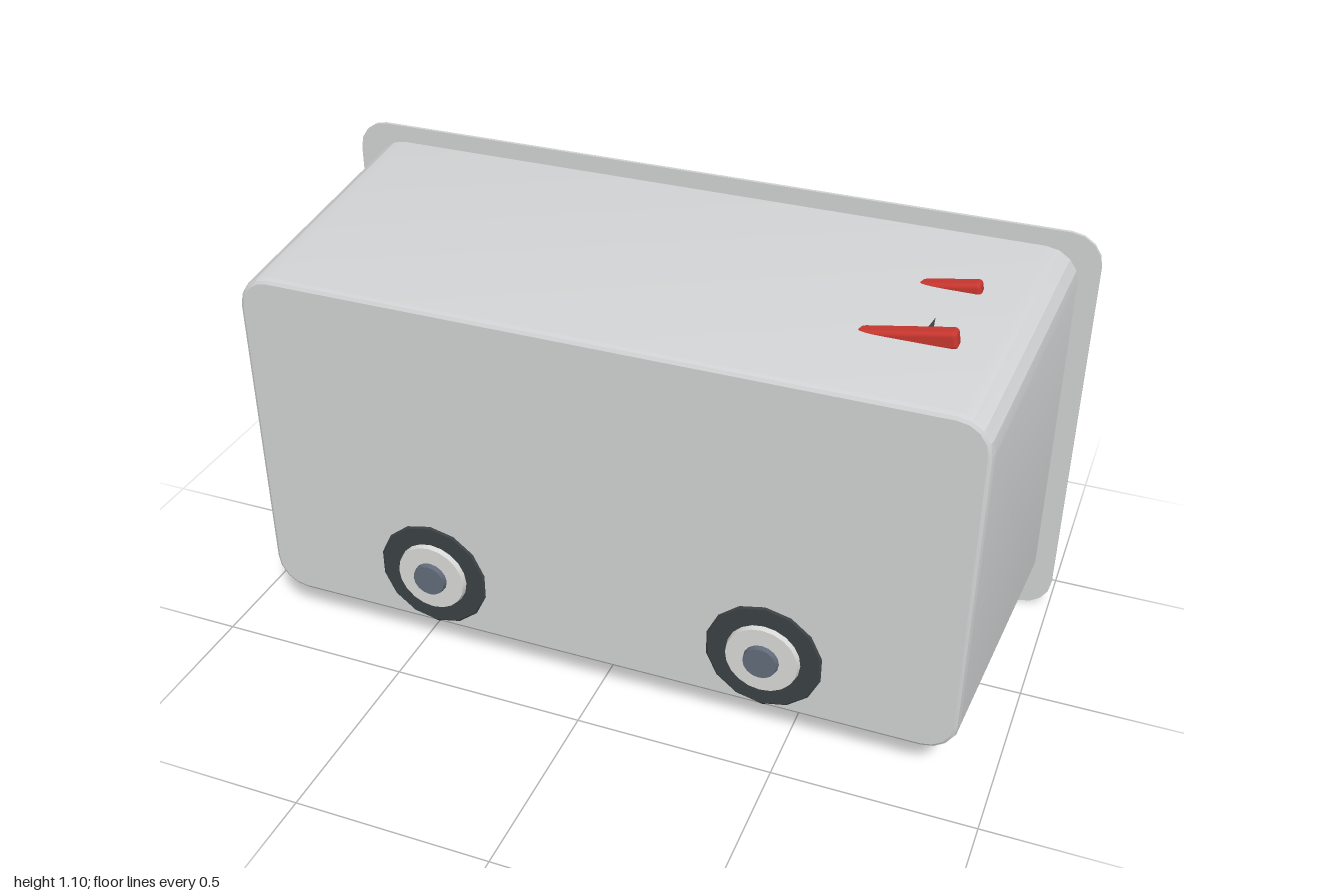
import * as THREE from 'three';
import { toCreasedNormals } from 'three/addons/utils/BufferGeometryUtils.js';
import { RoundedBoxGeometry } from 'three/addons/geometries/RoundedBoxGeometry.js';

const mat = (name, color, side = THREE.FrontSide) => {
  const m = new THREE.MeshStandardMaterial({ color, side });
  m.name = name;
  return m;
};

// Rounded rectangle, counter-clockwise
function roundedPoints(halfW, y0, y1, r, n = 4) {
  const pts = [];
  [[1, 1], [-1, 1], [-1, -1], [1, -1]].forEach(([sx, sy], q) => {
    const cx = sx * (halfW - r), cy = sy > 0 ? y1 - r : y0 + r;
    for (let i = 0; i <= n; i++) {
      const a = (q + i / n) * Math.PI / 2;
      pts.push(new THREE.Vector2(cx + r * Math.cos(a), cy + r * Math.sin(a)));
    }
  });
  return pts;
}

// Skin joining rounded-rectangle rings [halfW, y0, y1, r, z]
function loftRings(rings) {
  const pos = [], idx = [];
  const loops = rings.map(([w, a, b, r]) => roundedPoints(w, a, b, r));
  const n = loops[0].length;
  loops.forEach((l, k) => l.forEach(p => pos.push(p.x, p.y, rings[k][4])));
  for (let k = 0; k < rings.length - 1; k++) {
    for (let i = 0; i < n; i++) {
      const j = (i + 1) % n, a = k * n, b = a + n;
      idx.push(a + i, a + j, b + j, a + i, b + j, b + i);
    }
  }
  const g = new THREE.BufferGeometry();
  g.setAttribute('position', new THREE.Float32BufferAttribute(pos, 3));
  g.setIndex(idx);
  return toCreasedNormals(g, 0.3);
}

export function createModel() {
  const model = new THREE.Group();
  model.name = 'boxedTruck';
  const shellMat = mat('shell grey', 0xd0d1d2, THREE.DoubleSide);
  const white = mat('body white', 0xd9d9d7);
  const red = mat('red', 0xc8372f);
  const dark = mat('dark grey', 0x3b4144);
  const steel = mat('hub steel', 0x626b7a);

  const add = (name, geo, m, x = 0, y = 0, z = 0, parent = model) => {
    const mesh = new THREE.Mesh(geo, m);
    mesh.name = name;
    mesh.position.set(x, y, z);
    parent.add(mesh);
    return mesh;
  };
  // Box given by its limits
  const box = (name, m, x0, x1, y0, y1, z0, z1, round = 0) => {
    const s = [x1 - x0, y1 - y0, z1 - z0];
    const g = round ? new RoundedBoxGeometry(...s, 2, round) : new THREE.BoxGeometry(...s);
    return add(name, g, m, (x0 + x1) / 2, (y0 + y1) / 2, (z0 + z1) / 2);
  };

  // Tapered shell, open at the back
  add('shellWalls', loftRings([
    [0.95, 0.053, 1.055, 0.085, -0.38],
    [0.912, 0.094, 1.011, 0.085, 0.37],
    [0.908, 0.098, 1.007, 0.081, 0.381],
    [0.9, 0.106, 0.999, 0.073, 0.386],
  ]), shellMat);
  add('shellFront', new THREE.ShapeGeometry(
    new THREE.Shape(roundedPoints(0.9, 0.106, 0.999, 0.073))), shellMat, 0, 0, 0.386);
  const rim = new THREE.Shape(roundedPoints(1, 0, 1.1, 0.08));
  rim.holes.push(new THREE.Path(roundedPoints(0.95, 0.053, 1.055, 0.085)));
  add('shellRim', new THREE.ExtrudeGeometry(rim, { depth: 0.009, bevelEnabled: false }),
    shellMat, 0, 0, -0.386);

  // Lower body with chamfered front corners
  const plan = new THREE.Shape([[0.62, -0.28], [0.62, 0.28], [-0.58, 0.28], [-0.68, 0.22],
    [-0.68, -0.22], [-0.58, -0.28]].map(p => new THREE.Vector2(...p)).reverse());
  const hull = new THREE.ExtrudeGeometry(plan, { depth: 0.27, bevelEnabled: false });
  hull.rotateX(-Math.PI / 2);
  add('lowerBody', hull, white, 0, 0.22, 0);
  box('chassis', dark, -0.6, 0.6, 0.18, 0.22, -0.18, 0.18);

  // Cab narrowing towards the roof
  const cab = new THREE.BoxGeometry(0.52, 0.2, 0.52);
  const p = cab.attributes.position;
  for (let i = 0; i < p.count; i++) {
    if (p.getY(i) < 0) continue;
    p.setX(i, p.getX(i) > 0 ? 0.2 : -0.235);
    p.setZ(i, p.getZ(i) * 0.83);
  }
  cab.computeVertexNormals();
  add('cab', cab, white, -0.34, 0.6, 0);
  box('cabTrim', red, -0.625, -0.59, 0.485, 0.505, -0.25, 0.25);

  // Rear tray, open towards the cab
  box('trayFloor', dark, -0.06, 0.61, 0.49, 0.55, -0.25, 0.25);
  box('trayBack', red, 0.59, 0.62, 0.52, 0.69, -0.27, 0.27);
  for (const s of [-1, 1]) {
    const side = box('traySide', red, 0.09, 0.62, 0.52, 0.685, -0.0125, 0.0125);
    side.position.z = s * 0.2575;
  }
  box('turntable', red, 0.17, 0.54, 0.55, 0.72, -0.13, 0.17, 0.02);
  box('controlBox', red, -0.01, 0.18, 0.6, 0.74, -0.1, 0.1, 0.02);

  // Bumpers
  box('frontBumper', red, -0.79, -0.64, 0.165, 0.205, -0.27, 0.27);
  box('frontBar', dark, -0.73, -0.67, 0.215, 0.26, -0.26, 0.26, 0.015);
  box('rearBar', dark, 0.61, 0.68, 0.22, 0.27, -0.27, 0.27, 0.015);
  box('rearBumper', red, 0.6, 0.7, 0.18, 0.21, -0.24, 0.24);

  // Raised and stowed ladders
  function ladder(name, x0, y0, x1, y1, halfW, thick, rungs) {
    const g = new THREE.Group();
    g.name = name;
    const len = Math.hypot(x1 - x0, y1 - y0);
    for (const s of [-1, 1]) {
      add('ladderRail', new RoundedBoxGeometry(len, thick, thick * 0.9, 2, thick * 0.25),
        red, 0, 0, s * halfW, g);
    }
    for (let i = 0; i < rungs; i++) {
      const rung = new THREE.CylinderGeometry(0.015, 0.015, halfW * 2 + 0.07, 8);
      rung.rotateX(Math.PI / 2);
      add('ladderRung', rung, dark, ((i + 0.5) / rungs - 0.5) * len, -0.008, 0, g);
    }
    g.position.set((x0 + x1) / 2, (y0 + y1) / 2, 0);
    g.rotation.z = Math.atan2(y1 - y0, x1 - x0);
    model.add(g);
  }
  ladder('raisedLadder', -0.42, 0.83, 0.768, 1.043, 0.122, 0.044, 0);
  ladder('stowedLadder', -0.07, 0.69, 0.6, 0.69, 0.155, 0.03, 8);
  for (let i = 0; i < 8; i++) {
    const t = (i + 0.5) / 8;
    const rung = new THREE.CylinderGeometry(0.014, 0.014, 0.24, 8);
    rung.rotateX(Math.PI / 2);
    add('raisedRung', rung, dark, -0.42 + 1.188 * t, 0.825 + 0.205 * t, 0);
  }

  // Ladder posts, side sills and wheels, mirrored left and right
  const tyre = [[0.09, 0.26], [0.135, 0.26], [0.157, 0.285], [0.16, 0.34], [0.152, 0.382],
    [0.142, 0.39], [0.03, 0.39]].map(q => new THREE.Vector2(...q));
  const tyreGeo = toCreasedNormals(new THREE.LatheGeometry(tyre, 14), 0.5);
  for (const s of [-1, 1]) {
    box('frontPost', dark, -0.275, -0.215, 0.69, 0.86, s * 0.11 - 0.025, s * 0.11 + 0.025);
    box('rearPost', dark, 0.39, 0.45, 0.6, 0.975, s * 0.11 - 0.025, s * 0.11 + 0.025);
    box('sideSill', red, -0.36, 0.36, 0.235, 0.285, s * 0.3 - 0.03, s * 0.3 + 0.03, 0.015);
    for (const x of [-0.44, 0.435]) {
      const wheel = new THREE.Group();
      wheel.name = 'wheel';
      wheel.position.set(x, 0.25, 0);
      wheel.rotation.x = s * Math.PI / 2;
      add('tyre', tyreGeo, dark, 0, 0, 0, wheel);
      add('wheelBack', new THREE.CylinderGeometry(0.13, 0.13, 0.02, 14), dark, 0, 0.271, 0, wheel);
      add('wheelRim', new THREE.CylinderGeometry(0.09, 0.095, 0.02, 20), white, 0, 0.393, 0, wheel);
      add('wheelHub', new THREE.CylinderGeometry(0.042, 0.046, 0.02, 16), steel, 0, 0.406, 0, wheel);
      model.add(wheel);
    }
  }
  return model;
}
